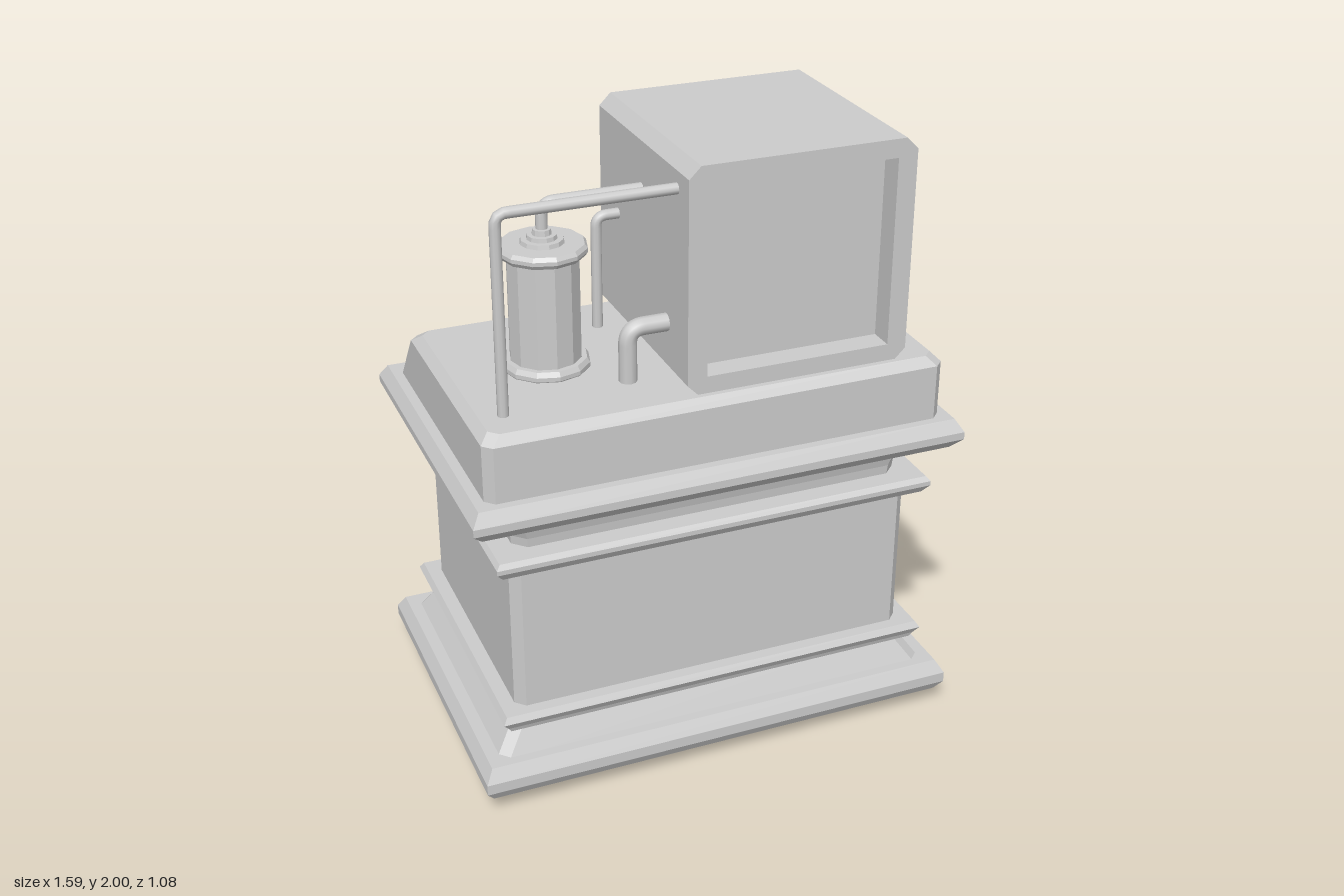
import * as THREE from 'three';

const flat = new THREE.MeshStandardMaterial({ color: 0xcccccc, flatShading: true });
const smooth = new THREE.MeshStandardMaterial({ color: 0xcccccc });

function part(parent, name, geometry, material = flat, x = 0, y = 0, z = 0) {
  const mesh = new THREE.Mesh(geometry, material);
  mesh.name = name;
  mesh.position.set(x, y, z);
  parent.add(mesh);
  return mesh;
}

// Rectangular outline at one height, with optional chamfered corners.
function outline([y, hx, zMax, zMin = -zMax], c) {
  const pts = c > 0
    ? [[-hx + c, zMax], [hx - c, zMax], [hx, zMax - c], [hx, zMin + c],
       [hx - c, zMin], [-hx + c, zMin], [-hx, zMin + c], [-hx, zMax - c]]
    : [[-hx, zMax], [hx, zMax], [hx, zMin], [-hx, zMin]];
  return pts.map(([x, z]) => [x, y, z]);
}

// Closed solid through a stack of outlines: [y, halfWidth, zMax, zMin?].
function loft(levels, chamfer = 0) {
  const rings = levels.map((l) => outline(l, chamfer));
  const n = rings[0].length;
  const pos = [];
  const tri = (a, b, c) => pos.push(...a, ...b, ...c);
  for (let r = 0; r < rings.length - 1; r++) {
    const lo = rings[r], hi = rings[r + 1];
    for (let i = 0; i < n; i++) {
      const j = (i + 1) % n;
      tri(lo[i], lo[j], hi[j]);
      tri(lo[i], hi[j], hi[i]);
    }
  }
  const bottom = rings[0], top = rings[rings.length - 1];
  for (let i = 1; i < n - 1; i++) {
    tri(top[0], top[i], top[i + 1]);
    tri(bottom[0], bottom[i + 1], bottom[i]);
  }
  const g = new THREE.BufferGeometry();
  g.setAttribute('position', new THREE.Float32BufferAttribute(pos, 3));
  g.computeVertexNormals();
  return g;
}

// Pipe leaving the cabinet side, turning down through a tight elbow.
function elbowPipe(fromX, x, top, bottom, z, radius, bend) {
  const s = Math.sign(fromX - x);
  const p = (a, b) => new THREE.Vector3(a, b, z);
  const path = new THREE.CurvePath();
  path.add(new THREE.LineCurve3(p(fromX, top), p(x + s * bend, top)));
  path.add(new THREE.QuadraticBezierCurve3(p(x + s * bend, top), p(x, top), p(x, top - bend)));
  path.add(new THREE.LineCurve3(p(x, top - bend), p(x, bottom)));
  return new THREE.TubeGeometry(path, 64, radius, 10);
}

function buildPedestal(root) {
  const g = new THREE.Group();
  g.name = 'pedestal';
  root.add(g);
  for (const x of [-0.675, 0.675])
    for (const z of [-0.415, 0.415])
      part(g, 'foot', new THREE.BoxGeometry(0.055, 0.06, 0.055), flat, x, 0.03, z);

  part(g, 'baseSlab', loft([
    [0.05, 0.735, 0.485], [0.066, 0.77, 0.52], [0.1, 0.795, 0.54],
    [0.135, 0.795, 0.54], [0.177, 0.77, 0.515]]));
  part(g, 'slopedPlinth', loft([[0.17, 0.735, 0.487], [0.27, 0.665, 0.435]], 0.03));
  part(g, 'lowerMoulding', loft([
    [0.265, 0.69, 0.47], [0.28, 0.7, 0.475], [0.305, 0.718, 0.49], [0.325, 0.705, 0.478]]));
  part(g, 'body', loft([[0.32, 0.66, 0.44], [0.83, 0.66, 0.44]], 0.03));
  part(g, 'upperMoulding', loft([
    [0.818, 0.695, 0.472], [0.845, 0.717, 0.49], [0.86, 0.717, 0.49], [0.875, 0.705, 0.478]]));
  part(g, 'cove', loft([
    [0.87, 0.637, 0.415], [0.905, 0.64, 0.418], [0.935, 0.648, 0.426],
    [0.96, 0.662, 0.44], [0.99, 0.69, 0.466]], 0.04));
  part(g, 'topSlab', loft([
    [0.985, 0.762, 0.51], [1.02, 0.795, 0.54], [1.045, 0.795, 0.54], [1.085, 0.77, 0.515]]));
}

function buildConsole(root) {
  const g = new THREE.Group();
  g.name = 'console';
  root.add(g);
  // Housing with a sloping control face at the back
  part(g, 'housing', loft([
    [1.08, 0.738, 0.488, -0.475], [1.265, 0.738, 0.488, -0.325],
    [1.294, 0.71, 0.462, -0.285]], 0.028));

  const slope = 1.241, tilt = -Math.atan(slope);
  const addKey = (name, x, z, w, l, h) => {
    const b = h * 0.4;
    const key = part(g, name, loft([
      [-0.005, w / 2, l / 2], [h - b, w / 2, l / 2], [h, w / 2 - b, l / 2 - b]]),
      flat, x, 1.265 + (z + 0.325) * slope, z);
    key.rotation.x = tilt;
  };
  for (let i = 0; i < 4; i++)
    for (const z of [-0.427, -0.36])
      addKey('smallKey', -0.538 + i * 0.106, z, 0.068, 0.056, 0.022);
  addKey('largeKey', 0.088, -0.403, 0.137, 0.125, 0.03);
  addKey('middleKey', 0.272, -0.395, 0.163, 0.15, 0.03);
  addKey('largeKey', 0.457, -0.403, 0.137, 0.125, 0.03);
}

function buildMonitor(root) {
  const g = new THREE.Group();
  g.name = 'monitor';
  g.position.set(0.258, 1.645, 0);
  root.add(g);
  // Chamfered shell, open at both ends
  const h = 0.359, v = 0.355, c = 0.037, o = 0.297;
  const shape = new THREE.Shape([
    [-h + c, -v], [h - c, -v], [h, -v + c], [h, v - c],
    [h - c, v], [-h + c, v], [-h, v - c], [-h, -v + c]].map((p) => new THREE.Vector2(...p)));
  shape.holes.push(new THREE.Path(
    [[-o, -o], [-o, o], [o, o], [o, -o]].map((p) => new THREE.Vector2(...p))));
  part(g, 'shell', new THREE.ExtrudeGeometry(shape, { depth: 0.72, bevelEnabled: false }),
    flat, 0, 0, -0.275);
  // Recessed panel closing the shell
  part(g, 'recessedPanel', new THREE.BoxGeometry(0.61, 0.61, 0.545), flat, 0, 0, 0.0925);
  // Bulging screen facing -z
  const screen = new THREE.PlaneGeometry(o * 2, o * 2, 10, 10);
  const p = screen.attributes.position;
  for (let i = 0; i < p.count; i++)
    p.setZ(i, 0.332 - 0.78 * (p.getX(i) ** 2 + p.getY(i) ** 2));
  screen.rotateY(Math.PI);
  screen.computeVertexNormals();
  part(g, 'screen', screen);
}

function buildPlumbing(root) {
  const g = new THREE.Group();
  g.name = 'plumbing';
  root.add(g);
  // Flanged tank with a stepped cap
  const profile = [
    [0, 1.285], [0.13, 1.285], [0.137, 1.297], [0.137, 1.31], [0.128, 1.325], [0.111, 1.325],
    [0.111, 1.655], [0.128, 1.655], [0.137, 1.668], [0.137, 1.68], [0.128, 1.692],
    [0.068, 1.692], [0.065, 1.705], [0.047, 1.705], [0.045, 1.718],
    [0.03, 1.718], [0.028, 1.735], [0, 1.735]];
  part(g, 'tank', new THREE.LatheGeometry(profile.map((q) => new THREE.Vector2(...q)), 12),
    flat, -0.415, 0, 0.08);

  part(g, 'tankPipe', elbowPipe(-0.08, -0.415, 1.815, 1.72, 0.08, 0.018, 0.04), smooth);
  part(g, 'tallPipe', elbowPipe(-0.08, -0.638, 1.91, 1.28, 0.357, 0.017, 0.035), smooth);
  part(g, 'shortPipe', elbowPipe(-0.08, -0.175, 1.665, 1.28, -0.12, 0.017, 0.035), smooth);
  part(g, 'thickPipe', elbowPipe(-0.08, -0.225, 1.465, 1.28, 0.28, 0.028, 0.05), smooth);
  part(g, 'sidePipe', elbowPipe(0.6, 0.655, 1.897, 1.28, 0.085, 0.017, 0.03), smooth);
}

export function createModel() {
  const root = new THREE.Group();
  root.name = 'consoleCabinet';
  buildPedestal(root);
  buildConsole(root);
  buildMonitor(root);
  buildPlumbing(root);
  return root;
}
